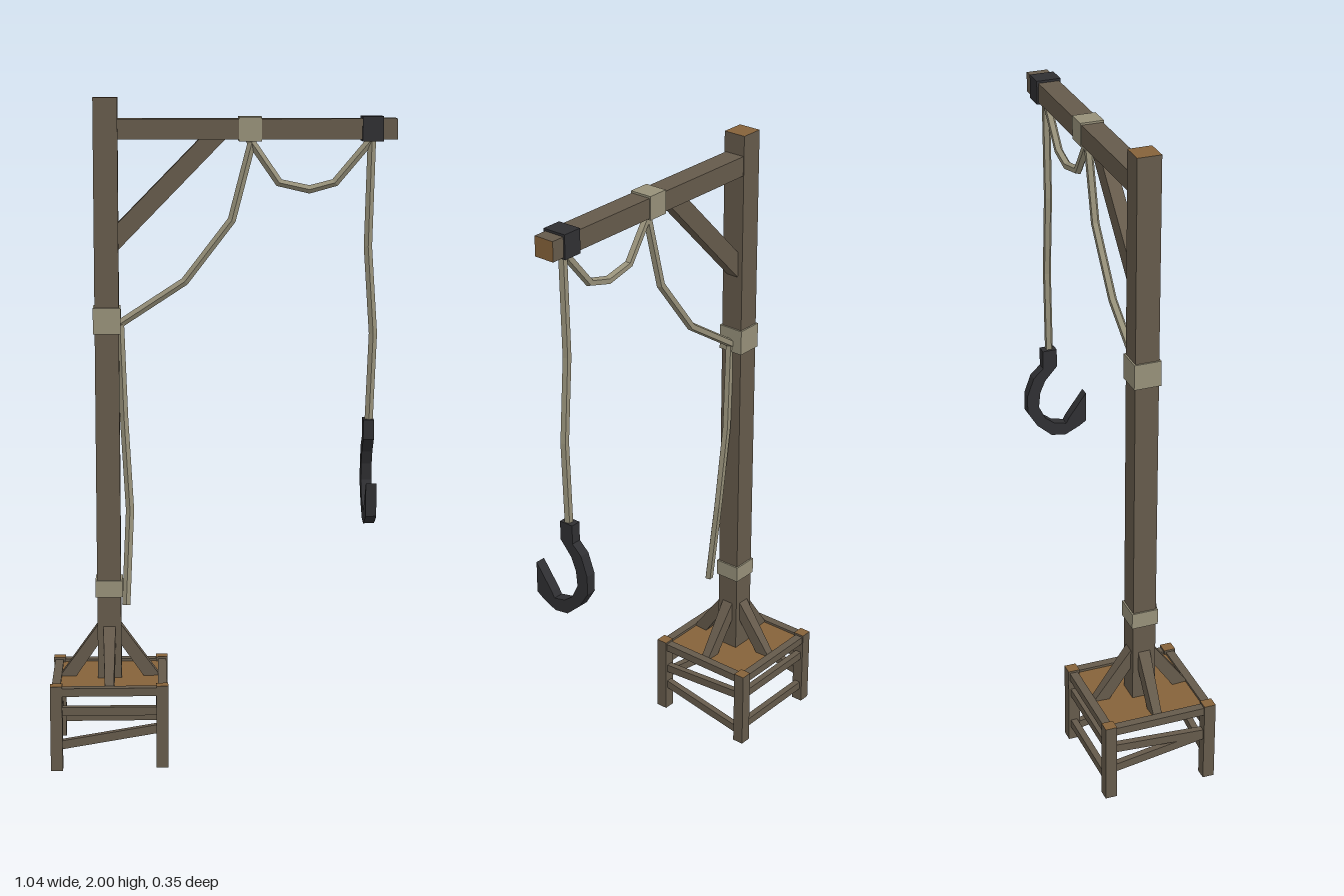
import * as THREE from 'three';

const mat = (name, color) => Object.assign(new THREE.MeshStandardMaterial({ color }), { name });

export function createModel() {
  const wood = mat('weathered wood', 0x655a4b);
  const cut = mat('cut wood', 0x85623a);
  const rope = mat('rope', 0x969079);
  const iron = mat('dark iron', 0x2f2f32);
  const model = new THREE.Group();
  model.name = 'hookCrane';
  const V = (x, y, z) => new THREE.Vector3(x, y, z);

  const add = (name, geo, material, parent = model) => {
    const m = new THREE.Mesh(geo, material);
    m.name = name;
    parent.add(m);
    return m;
  };
  // Box given by its limits on each axis
  const box = (name, [x0, x1], [y0, y1], [z0, z1], material, parent) => {
    const g = new THREE.BoxGeometry(x1 - x0, y1 - y0, z1 - z0);
    add(name, g, material, parent).position.set((x0 + x1) / 2, (y0 + y1) / 2, (z0 + z1) / 2);
  };
  // Square bar between two points, turned before it joins its parent
  const bar = (name, a, b, w, h, parent) => {
    const m = new THREE.Mesh(new THREE.BoxGeometry(w, h, a.distanceTo(b)), wood);
    m.name = name;
    m.position.copy(a).add(b).multiplyScalar(0.5);
    m.lookAt(b);
    parent.add(m);
  };
  // Flat outline extruded evenly about z = 0
  const plate = (pts, depth) => {
    const shape = new THREE.Shape(pts.map(([x, y]) => new THREE.Vector2(x, y)));
    return new THREE.ExtrudeGeometry(shape, { depth, bevelEnabled: false }).translate(0, 0, -depth / 2);
  };
  // Faceted rope: rings of corners along a bent line
  const cord = (name, pts, r = 0.013, sides = 5) => {
    const pos = [], idx = [];
    pts.forEach((p, i) => {
      const t = pts[Math.min(i + 1, pts.length - 1)].clone().sub(pts[Math.max(i - 1, 0)]).normalize();
      const u = V(0, 0, 1).addScaledVector(t, -t.z).normalize();
      const v = t.clone().cross(u);
      for (let k = 0; k < sides; k++) {
        const a = (k / sides) * Math.PI * 2;
        pos.push(...p.clone().addScaledVector(u, Math.cos(a) * r).addScaledVector(v, Math.sin(a) * r).toArray());
      }
      if (!i) return;
      for (let k = 0; k < sides; k++) {
        const a = (i - 1) * sides + k, b = (i - 1) * sides + ((k + 1) % sides);
        idx.push(a, b, b + sides, a, b + sides, a + sides);
      }
    });
    const last = (pts.length - 1) * sides;
    for (let k = 1; k < sides - 1; k++) idx.push(0, k + 1, k, last, last + k, last + k + 1);
    let g = new THREE.BufferGeometry();
    g.setAttribute('position', new THREE.Float32BufferAttribute(pos, 3));
    g.setIndex(idx);
    g = g.toNonIndexed();
    g.computeVertexNormals();
    add(name, g, rope);
  };

  const cx = -0.342;

  // Stool base
  const base = new THREE.Group();
  base.name = 'base';
  base.position.x = cx;
  model.add(base);
  box('platform', [-0.155, 0.155], [0.234, 0.248], [-0.155, 0.155], cut, base);
  const topCut = [wood, wood, cut, wood, wood, wood];
  for (const sx of [-1, 1]) for (const sz of [-1, 1]) {
    const x = sx * 0.159, z = sz * 0.159;
    const foot = sx < 0 && sz > 0 ? 0 : 0.008;
    box('leg', [x - 0.018, x + 0.018], [foot, 0.262], [z - 0.018, z + 0.018], topCut, base);
  }
  for (const s of [-1, 1]) {
    bar('topRail', V(-0.15, 0.243, s * 0.16), V(0.15, 0.243, s * 0.16), 0.026, 0.025, base);
    bar('topRail', V(s * 0.16, 0.243, -0.15), V(s * 0.16, 0.243, 0.15), 0.026, 0.025, base);
    bar('middleRail', V(-0.15, 0.183, s * 0.16), V(0.15, 0.183, s * 0.16), 0.02, 0.026, base);
    bar('sideUpperRail', V(s * 0.16, 0.16, 0.15), V(s * 0.16, 0.18, -0.15), 0.02, 0.026, base);
  }
  bar('frontSlantRail', V(-0.15, 0.078, 0.16), V(0.15, 0.128, 0.16), 0.02, 0.026, base);
  bar('backLowRail', V(-0.15, 0.066, -0.16), V(0.15, 0.066, -0.16), 0.02, 0.026, base);
  bar('leftLowRail', V(0.16, 0.1, 0.15), V(0.16, 0.045, -0.15), 0.02, 0.026, base);
  bar('rightSlantRail', V(-0.16, 0.155, 0.15), V(-0.16, 0.107, -0.15), 0.02, 0.026, base);

  // Struts around the foot of the post, narrowing outward
  const strut = plate([[0.03, 0.418], [0.03, 0.355], [0.105, 0.245], [0.155, 0.245]], 0.036);
  const sp = strut.attributes.position;
  for (let i = 0; i < sp.count; i++) sp.setZ(i, sp.getZ(i) * (1.05 - (sp.getX(i) - 0.03) * 2.6));
  strut.computeVertexNormals();
  for (let k = 0; k < 4; k++) add('footStrut', strut, wood, base).rotation.y = k * Math.PI / 2;

  // Post, beam and diagonal brace
  box('post', [cx - 0.036, cx + 0.036], [0.225, 2], [-0.036, 0.036], topCut);
  box('beam', [-0.31, 0.517], [1.878, 1.938], [-0.034, 0.031], [cut, wood, wood, wood, wood, wood]);
  add('beamBrace', plate([[-0.31, 1.55], [0.012, 1.88], [-0.065, 1.88], [-0.31, 1.63]], 0.04), wood);

  // Wrapped bands
  for (const [y0, y1] of [[1.305, 1.383], [0.502, 0.553]])
    box('postWrap', [cx - 0.041, cx + 0.041], [y0, y1], [-0.041, 0.041], rope);
  box('beamWrap', [0.05, 0.117], [1.873, 1.944], [-0.037, 0.034], rope);
  box('ironBand', [0.413, 0.475], [1.872, 1.945], [-0.039, 0.036], iron);

  // Ropes
  cord('hookRope', [V(0.443, 1.875, 0), V(0.435, 1.56, 0), V(0.453, 1.3, 0), V(0.443, 1.03, 0)]);
  cord('saggingRope', [V(0.445, 1.88, 0), V(0.335, 1.75, 0), V(0.26, 1.73, 0), V(0.17, 1.75, 0), V(0.08, 1.88, 0)]);
  cord('slackRope', [V(0.092, 1.88, 0), V(0.03, 1.64, 0), V(-0.11, 1.458, 0), V(-0.31, 1.328, 0)]);
  cord('hangingRope', [V(-0.303, 1.33, 0.005), V(-0.293, 1.05, 0.005), V(-0.277, 0.77, 0.022), V(-0.29, 0.485, 0.065)]);

  // Hook with a pointed barb, outlined in the z-y plane
  const hook = plate([
    [0.02, 1.04], [0.02, 0.98], [-0.02, 0.935], [-0.037, 0.895], [-0.042, 0.845], [-0.02, 0.8],
    [0.01, 0.777], [0.05, 0.768], [0.06, 0.786], [0.118, 0.865], [0.118, 0.765], [0.095, 0.75],
    [0.048, 0.728], [0, 0.735], [-0.048, 0.778], [-0.08, 0.83], [-0.08, 0.89], [-0.058, 0.95],
    [-0.026, 0.98], [-0.026, 1.04]], 0.032);
  add('hook', hook.rotateY(-Math.PI / 2), iron).position.x = 0.442;

  return model;
}
